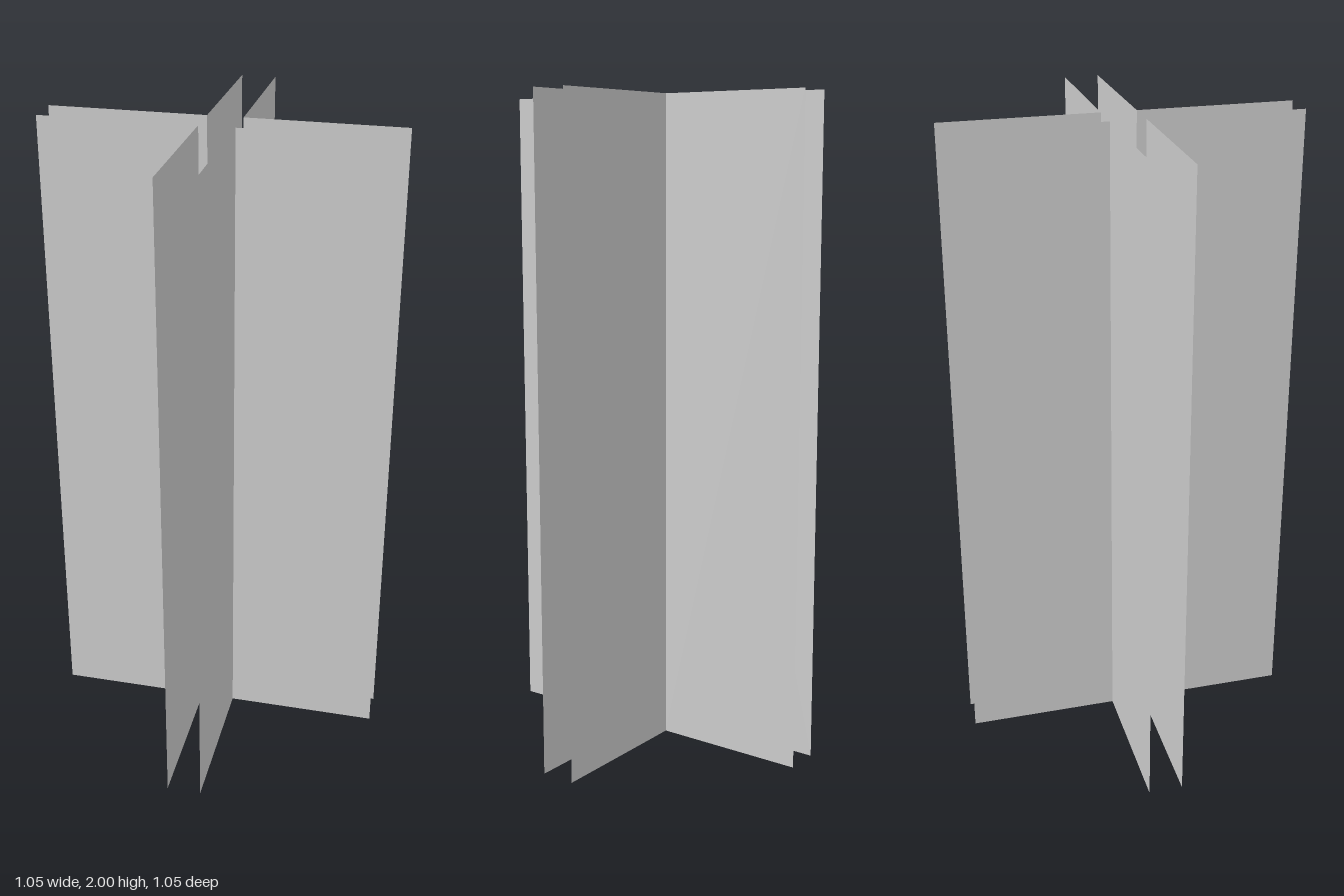
import * as THREE from 'three';

const HEIGHT = 2;
const INNER = 0.053; // half the gap between opposite sheets
const OUTER = 0.527; // reach of each wing
const WIDTH = OUTER - INNER;

export function createModel() {
  const model = new THREE.Group();
  model.name = 'crossOfFoldedSheets';
  const material = new THREE.MeshStandardMaterial({
    color: 0xcccccc, flatShading: true, side: THREE.DoubleSide,
  });
  const wing = new THREE.PlaneGeometry(WIDTH, HEIGHT);
  const middle = (INNER + OUTER) / 2;

  // Four sheets folded at a right angle, one per quadrant
  ['frontLeft', 'backLeft', 'backRight', 'frontRight'].forEach((name, i) => {
    const sheet = new THREE.Group();
    sheet.name = `${name}FoldedSheet`;

    // Wing running out sideways, facing z
    const sideWing = new THREE.Mesh(wing, material);
    sideWing.name = 'sideWing';
    sideWing.position.set(middle, HEIGHT / 2, INNER);

    // Wing running out at a right angle to it, facing x
    const crossWing = new THREE.Mesh(wing, material);
    crossWing.name = 'crossWing';
    crossWing.position.set(INNER, HEIGHT / 2, middle);
    crossWing.rotation.y = Math.PI / 2;

    sheet.add(sideWing, crossWing);
    sheet.rotation.y = (i * Math.PI) / 2;
    model.add(sheet);
  });
  return model;
}
